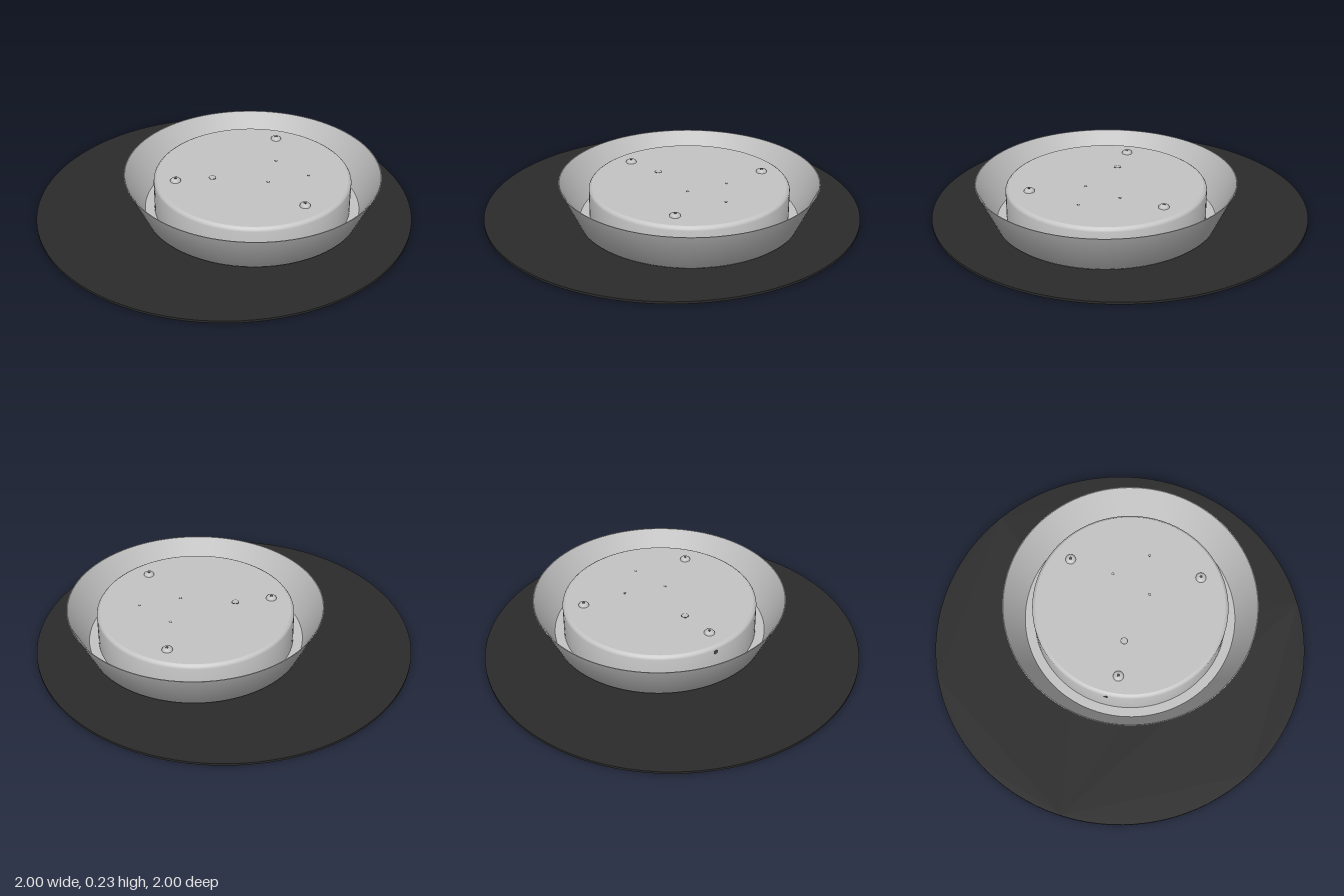
import * as THREE from 'three';
import { toCreasedNormals } from 'three/addons/utils/BufferGeometryUtils.js';

const CX = 0.15, CZ = 0.01; // centre of the dish
const PLATE_Y = 0.21;       // top of the mounting plate

const material = (name, color, side = THREE.FrontSide) => {
  const m = new THREE.MeshStandardMaterial({ color, side });
  m.name = name;
  return m;
};

export function createModel() {
  const model = new THREE.Group();
  const metal = material('light grey metal', 0xc4c4c4, THREE.DoubleSide);
  const rubber = material('black rubber', 0x2b2b2b, THREE.DoubleSide);
  const dark = material('dark grey recess', 0x4a4a4a);

  const add = (name, geometry, mat, x = 0, y = 0, z = 0, parent = model) => {
    const mesh = new THREE.Mesh(geometry, mat);
    mesh.name = name;
    mesh.position.set(x, y, z);
    parent.add(mesh);
    return mesh;
  };
  const lathe = (profile, segments = 96, crease = 0.6) => toCreasedNormals(
    new THREE.LatheGeometry(profile.map(([r, y]) => new THREE.Vector2(r, y)), segments), crease);

  // Thin base disc with an off-centre opening
  const HX = 0.28, HZ = -0.01, HR = 0.36;
  const disc = new THREE.Shape();
  disc.absarc(0, 0, 1, 0, Math.PI * 2, false);
  const opening = new THREE.Path();
  opening.absarc(HX, -HZ, HR, 0, Math.PI * 2, true);
  disc.holes.push(opening);
  const discGeometry = new THREE.ExtrudeGeometry(disc, { depth: 0.012, bevelEnabled: false, curveSegments: 48 });
  discGeometry.rotateX(-Math.PI / 2);
  add('baseDisc', discGeometry, rubber);

  // Flared collar rising from the opening, closed by a metal cap
  add('openingCollar', lathe([
    [0.283, 0.07], [0.29, 0.05], [0.3, 0.032], [0.315, 0.016], [0.335, 0.005], [HR, 0],
  ], 64, 1.2), rubber, HX, 0, HZ);
  const cap = new THREE.CircleGeometry(0.29, 64);
  cap.rotateX(Math.PI / 2);
  add('openingCap', cap, metal, HX, 0.07, HZ);

  // Flared dish wall with a flat floor ring
  add('dish', lathe([
    [0.5, 0.012], [0.565, 0.012], [0.577, 0.022], [0.678, 0.235],
    [0.673, 0.235], [0.572, 0.027], [0.5, 0.027],
  ]), metal, CX, 0, CZ);

  // Raised round plate with a softened edge
  add('mountingPlate', lathe([
    [0.522, 0.015], [0.522, 0.19], [0.52, 0.197], [0.515, 0.204],
    [0.505, PLATE_Y], [0, PLATE_Y],
  ], 96, 0.5), metal, CX, 0, CZ);

  // Domed screws with a hexagonal socket
  for (const [x, z] of [[0.295, -0.373], [-0.255, 0.073], [0.405, 0.325]]) {
    const screw = new THREE.Group();
    screw.name = 'screw';
    screw.position.set(x, PLATE_Y, z);
    model.add(screw);
    add('screwHead', lathe([
      [0.028, 0], [0.027, 0.006], [0.022, 0.012], [0.013, 0.016], [0, 0.016],
    ], 24, 0.9), metal, 0, 0, 0, screw);
    add('screwSocket', new THREE.CylinderGeometry(0.009, 0.009, 0.002, 6), dark, 0, 0.016, 0, screw);
  }

  // Cable hole: thin ring around a recessed-looking disc
  add('cableHole', new THREE.CylinderGeometry(0.02, 0.02, 0.002, 24), dark, -0.062, PLATE_Y, 0.043);
  add('cableHoleFloor', new THREE.CylinderGeometry(0.016, 0.016, 0.003, 24), metal, -0.062, PLATE_Y, 0.043);

  // Small pin holes
  for (const [x, z] of [[0.283, -0.13], [0.23, 0.09], [0.446, 0.025]]) {
    add('pinHole', new THREE.CylinderGeometry(0.008, 0.008, 0.002, 12), dark, x, PLATE_Y, z);
    add('pinHoleFloor', new THREE.CylinderGeometry(0.005, 0.005, 0.003, 12), metal, x, PLATE_Y, z);
  }

  // Small hole in the side of the plate
  const sideHole = add('sideHole', new THREE.CylinderGeometry(0.012, 0.012, 0.004, 16), dark, CX - 0.521, 0.175, CZ + 0.03);
  sideHole.rotation.z = Math.PI / 2;

  return model;
}
